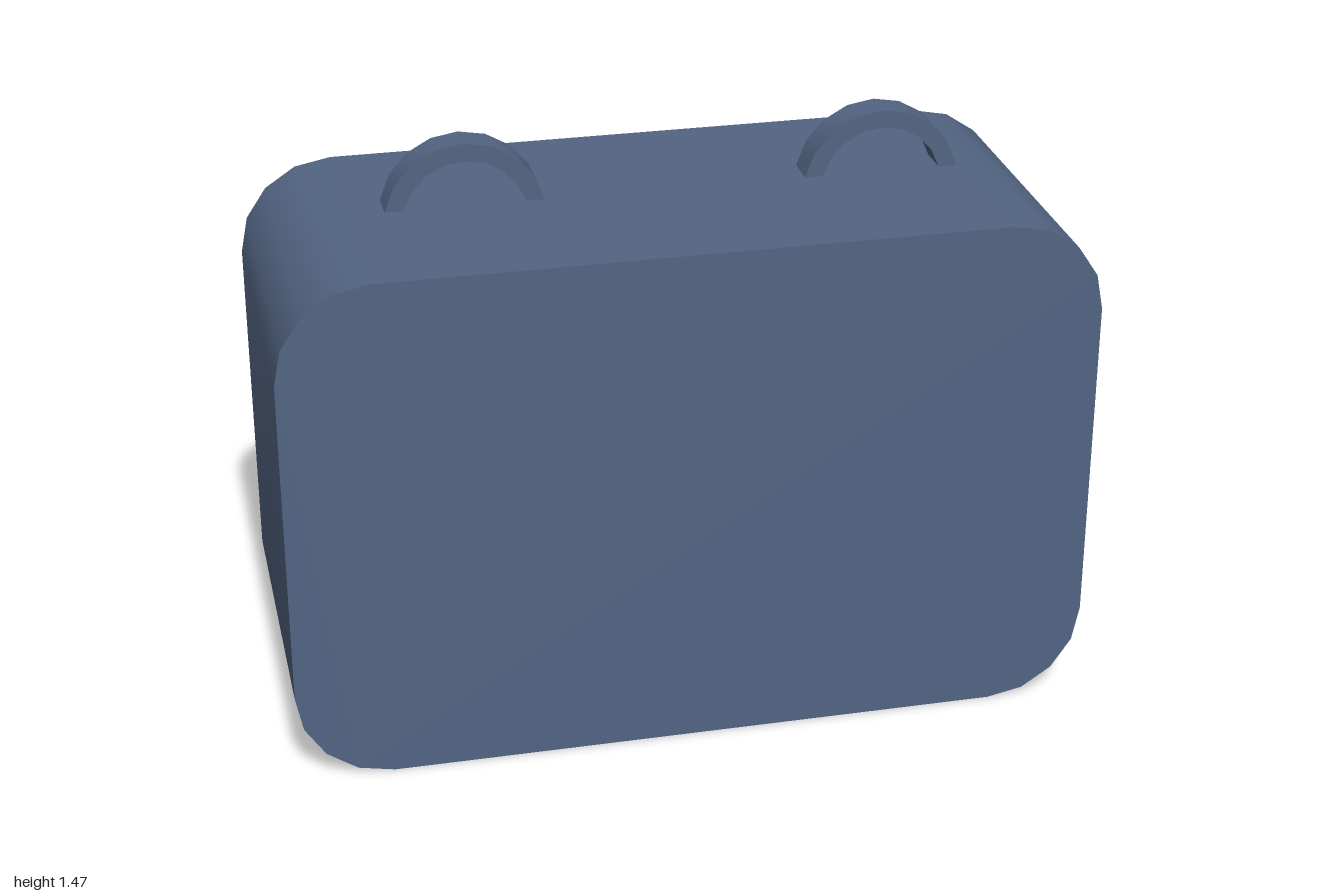
import * as THREE from 'three';
import { toCreasedNormals } from 'three/addons/utils/BufferGeometryUtils.js';

const HEIGHT = 1.306, DEPTH = 0.81, RADIUS = 0.235;

// Extrudes a shape from zBack towards +z, smooth round the curve, sharp at the rims
function extrude(shape, zBack, depth, curveSegments) {
  const geometry = new THREE.ExtrudeGeometry(shape, { depth, curveSegments, bevelEnabled: false });
  geometry.translate(0, 0, zBack);
  return toCreasedNormals(geometry, Math.PI / 5);
}

// Rectangle with four rounded corners, standing on y = 0
function bodyShape() {
  const x = 1 - RADIUS, q = Math.PI / 2;
  const shape = new THREE.Shape();
  shape.absarc(x, RADIUS, RADIUS, -q, 0);
  shape.absarc(x, HEIGHT - RADIUS, RADIUS, 0, q);
  shape.absarc(-x, HEIGHT - RADIUS, RADIUS, q, 2 * q);
  shape.absarc(-x, RADIUS, RADIUS, 2 * q, 3 * q);
  shape.closePath();
  return shape;
}

// Arched strap whose feet end flat on the top of the body
function handleShape() {
  const outer = 0.199, inner = 0.154, sunk = 0.039;
  const a = Math.asin(sunk / outer), b = Math.asin(sunk / inner);
  const shape = new THREE.Shape();
  shape.absarc(0, -sunk, outer, a, Math.PI - a, false);
  shape.absarc(0, -sunk, inner, Math.PI - b, b, true);
  shape.closePath();
  return shape;
}

export function createModel() {
  const group = new THREE.Group();
  group.name = 'suitcase';
  const slateBlue = new THREE.MeshStandardMaterial({ color: 0x536583 });
  slateBlue.name = 'slateBlue';

  const body = new THREE.Mesh(extrude(bodyShape(), -DEPTH / 2, DEPTH, 2), slateBlue);
  body.name = 'body';
  group.add(body);

  // Two handles, set slightly behind the middle
  const handleGeometry = extrude(handleShape(), -0.095, 0.085, 4);
  for (const [name, x] of [['rightHandle', -0.485], ['leftHandle', 0.558]]) {
    const handle = new THREE.Mesh(handleGeometry, slateBlue);
    handle.name = name;
    handle.position.set(x, HEIGHT, 0);
    group.add(handle);
  }
  return group;
}
